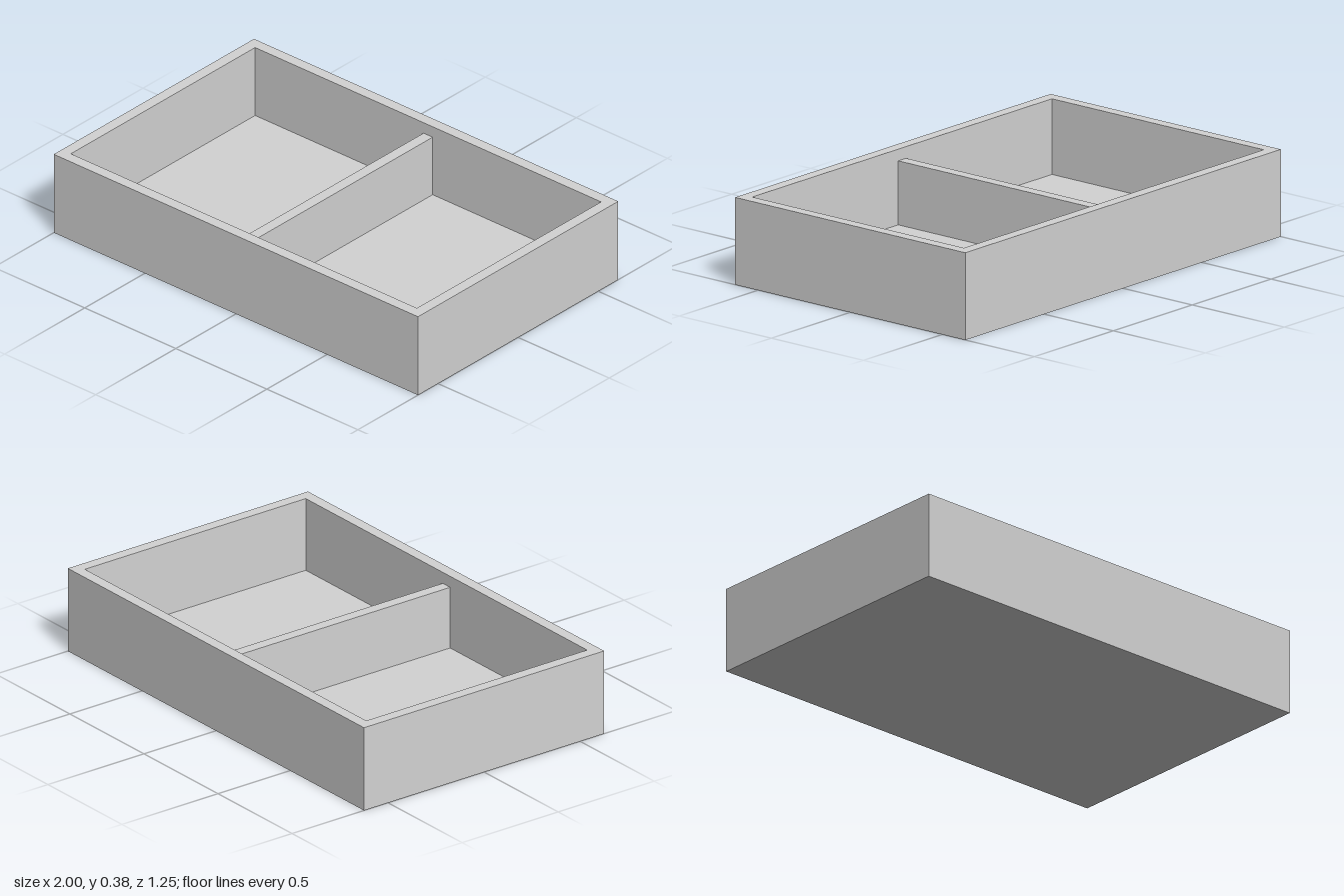
import * as THREE from 'three';

const WIDTH = 2, DEPTH = 1.25, HEIGHT = 0.375;
const WALL = 0.05; // thickness of walls, floor and divider
const DIVIDER_TOP = 0.325; // the divider stops just below the rim

// Corners of a centred rectangle
function rectangle(w, d) {
  return [[-w, -d], [w, -d], [w, d], [-w, d]].map(([x, y]) => new THREE.Vector2(x / 2, y / 2));
}

export function createModel() {
  const group = new THREE.Group();
  group.name = 'dividedTray';
  const lightGray = new THREE.MeshStandardMaterial({ color: 0xd3d3d3 });
  lightGray.name = 'lightGray';

  function add(name, geometry, y) {
    const mesh = new THREE.Mesh(geometry, lightGray);
    mesh.name = name;
    mesh.position.y = y;
    group.add(mesh);
  }

  // Floor slab
  add('floor', new THREE.BoxGeometry(WIDTH, WALL, DEPTH), WALL / 2);

  // Four outer walls as one hollow frame standing on the floor
  const frame = new THREE.Shape(rectangle(WIDTH, DEPTH));
  frame.holes.push(new THREE.Path(rectangle(WIDTH - 2 * WALL, DEPTH - 2 * WALL)));
  const walls = new THREE.ExtrudeGeometry(frame, { depth: HEIGHT - WALL, bevelEnabled: false });
  walls.rotateX(-Math.PI / 2);
  add('walls', walls, WALL);

  // Central divider between the two compartments
  const dividerHeight = DIVIDER_TOP - WALL;
  add('divider', new THREE.BoxGeometry(WALL, dividerHeight, DEPTH - 2 * WALL), WALL + dividerHeight / 2);

  return group;
}
